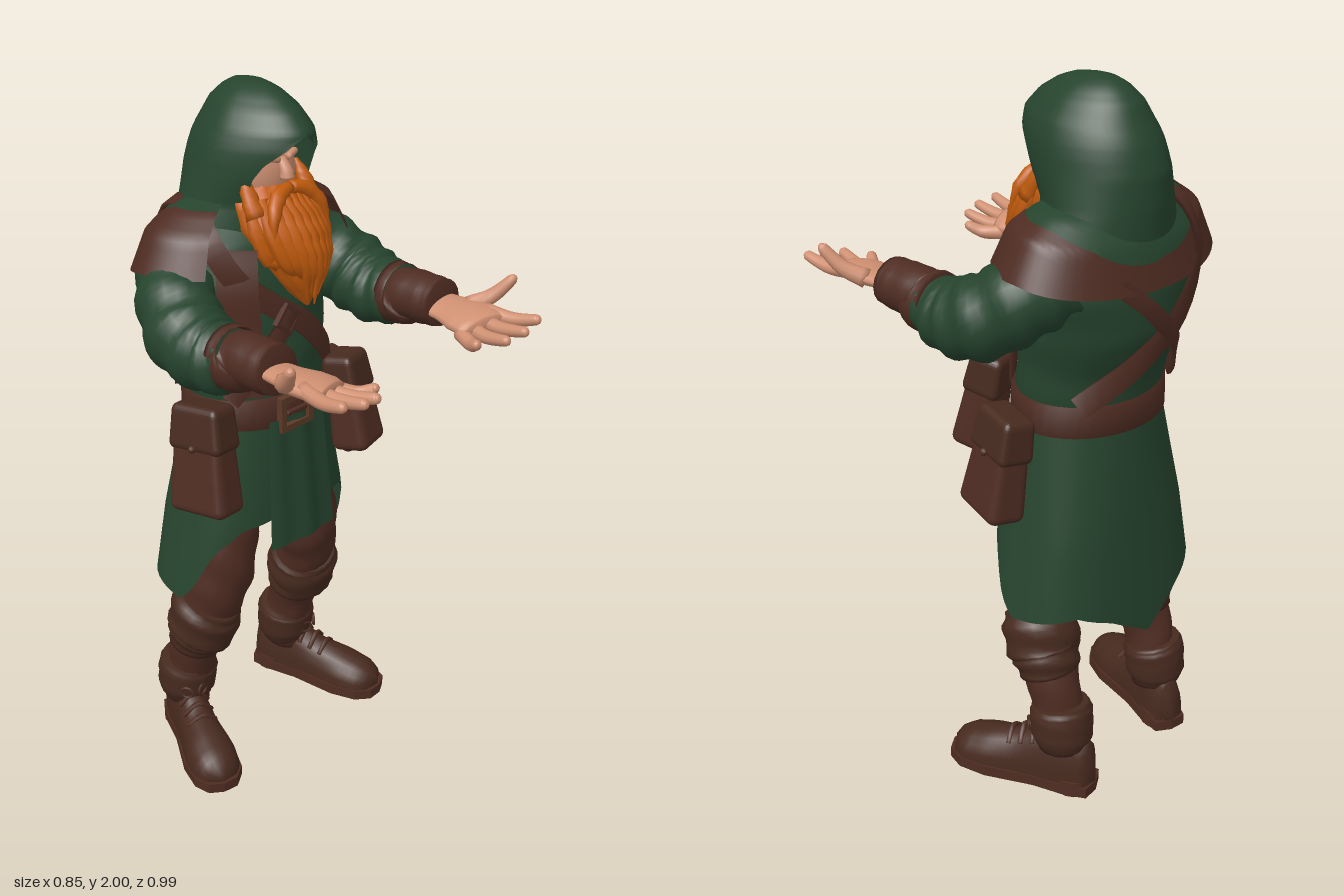
import * as THREE from 'three';
import { mergeVertices } from 'three/addons/utils/BufferGeometryUtils.js';
import { RoundedBoxGeometry } from 'three/addons/geometries/RoundedBoxGeometry.js';

const { sin, cos, PI, max, min } = Math;
const V = (x, y, z) => new THREE.Vector3(x, y, z);
const mat = (name, color) => {
  const m = new THREE.MeshStandardMaterial({ color, side: THREE.DoubleSide });
  m.name = name;
  return m;
};

// linear lookup of row [key, a, b, ...] in a table sorted by key
function lookup(table, k) {
  const up = table[0][0] < table[table.length - 1][0];
  let i = 0;
  while (i < table.length - 2 && (up ? k > table[i + 1][0] : k < table[i + 1][0])) i++;
  const a = table[i], b = table[i + 1];
  const t = min(1, max(0, (k - a[0]) / (b[0] - a[0])));
  return a.map((v, j) => v + (b[j] - v) * t);
}

// surface from a rule f(u, v) -> Vector3
function grid(nu, nv, f) {
  const pos = [], idx = [];
  for (let j = 0; j <= nv; j++) for (let i = 0; i <= nu; i++) pos.push(...f(i / nu, j / nv).toArray());
  for (let j = 0; j < nv; j++) for (let i = 0; i < nu; i++) {
    const a = j * (nu + 1) + i, b = a + nu + 1;
    idx.push(a, b, a + 1, b, b + 1, a + 1);
  }
  let g = new THREE.BufferGeometry();
  g.setAttribute('position', new THREE.Float32BufferAttribute(pos, 3));
  g.setIndex(idx);
  g = mergeVertices(g, 1e-5);
  g.computeVertexNormals();
  return g;
}

// stacked ellipses, rows [y, cx, cz, rx, rz] from top to bottom
const loft = (rows, nu = 32, nv = 24, ridge = () => 1) => grid(nu, nv, (u, v) => {
  const f = v * (rows.length - 1), i = min(rows.length - 2, Math.floor(f));
  const [y, cx, cz, rx, rz] = rows[i].map((n, k) => n + (rows[i + 1][k] - n) * (f - i));
  const a = -u * 2 * PI, r = ridge(a, v);
  return V(cx + rx * r * cos(a), y, cz + rz * r * sin(a));
});

// closed tapering tube through points [x, y, z, radius], with optional folds
function limb(pts, sides = 16, rows = 20, fold = 0, freq = 30) {
  const curve = new THREE.CatmullRomCurve3(pts.map(p => V(p[0], p[1], p[2])));
  const d = V(...pts[pts.length - 1].slice(0, 3)).sub(V(...pts[0].slice(0, 3)));
  const ref = Math.abs(d.x) > max(Math.abs(d.y), Math.abs(d.z)) ? V(0, 1, 0) : V(1, 0, 0);
  return grid(sides, rows, (u, v) => {
    const row = Math.round(v * rows), t = min(1, max(0, (row - 1) / (rows - 2)));
    const f = t * (pts.length - 1), i = min(pts.length - 2, Math.floor(f));
    let r = pts[i][3] + (pts[i + 1][3] - pts[i][3]) * (f - i);
    const a = -u * 2 * PI;
    r *= row === 0 || row === rows ? 0 : 1 + fold * sin(t * freq + 2.5 * cos(a));
    const tan = curve.getTangent(t), s = ref.clone().addScaledVector(tan, -ref.dot(tan)).normalize();
    const b = tan.clone().cross(s);
    return curve.getPoint(t).addScaledVector(s, r * cos(a)).addScaledVector(b, -r * sin(a));
  });
}

const TORSO = [[1.69, .02, -.29, .1, .1], [1.66, .02, -.29, .15, .13], [1.6, .01, -.285, .24, .17],
  [1.5, .01, -.28, .265, .195], [1.38, .005, -.27, .24, .2], [1.25, 0, -.235, .22, .18], [1.12, 0, -.22, .212, .172]];
// point on the torso at an angle in degrees (90 is front)
function onTorso(deg, y, off) {
  const [, cx, cz, rx, rz] = lookup(TORSO, y), a = deg * PI / 180;
  return V(cx + (rx + off) * cos(a), y, cz + (rz + off) * sin(a));
}

// leather band lying on the body, path rows [degrees, y, offset]
function strap(path, w) {
  const curve = new THREE.CatmullRomCurve3(path.map(([d, y, o = .012]) => onTorso(d, y, o)));
  const corners = [[-1, 0], [-1, 1], [1, 1], [1, 0], [-1, 0]];
  return grid(4, 44, (u, v) => {
    const p = curve.getPoint(v), [c, h] = corners[Math.round(u * 4)];
    const n = V(p.x, max(0, p.y - 1.53) * 3, p.z + .27).normalize();
    const side = curve.getTangent(v).cross(n).normalize();
    return p.addScaledVector(side, c * w / 2).addScaledVector(n, h * .012 - .004);
  });
}

export function createModel() {
  const root = new THREE.Group();
  const green = mat('greenCloth', 0x26442e), brown = mat('brownLeather', 0x4e2c22);
  const boot = mat('bootLeather', 0x472a1f), orange = mat('orangeHair', 0xbf5a0c);
  const skin = mat('skin', 0xcf9072), metal = mat('buckleMetal', 0x5c3927);
  const add = (name, geo, m, parent = root) => {
    const mesh = new THREE.Mesh(geo, m);
    mesh.name = name;
    parent.add(mesh);
    return mesh;
  };

  // tunic, hem height by angle from the back
  add('torso', loft(TORSO, 36, 30, (a, v) => 1 + .012 * sin(v * 34 + 3 * cos(a)) * v), green);
  const hem = [[0, .47], [26, .56], [45, .6], [78, .575], [96, .565], [108, .61], [122, .73], [140, .8], [180, .82]];
  add('skirt', grid(72, 14, (u, v) => {
    const a = -u * 2 * PI, s = sin(a), c = cos(a);
    const y = 1.15 + (lookup(hem, Math.acos(max(-1, min(1, -s))) * 180 / PI)[1] - 1.15) * v;
    const d = (1.15 - y) / .35, square = 1 + .1 * min(1, d) * sin(2 * a) ** 2;
    return V(-.006 * d + (.212 + .06 * d) * square * c, y, -.222 - .01 * d + (.172 + .016 * d) * square * s);
  }), green);
  add('frontPanel', grid(10, 12, (u, v) => {
    const x = (u - .5) * (.2 + .045 * v);
    return V(x - .022, 1.13 - .39 * v, -.03 + .032 * v - 1.1 * x * x + .005 * sin(u * 14));
  }), green);

  // shoulder mantle, green inside with a leather border widening over the shoulders
  const cape = [[0, .13, 1.715], [.35, .22, 1.69], [.7, .295, 1.645], [1, .345, 1.55]];
  const border = a => (cos(a) > 0 ? .3 + .2 * cos(a) : .3) + .5 * max(0, -sin(a)) ** 2;
  const mantle = (from, to, lift) => grid(48, 10, (u, v) => {
    const a = (140 + 260 * u) * PI / 180, t = from(a) + (to(a) - from(a)) * v;
    const [, r, y] = lookup(cape, t), back = max(0, -sin(a));
    return V(.01 + r * cos(a), y - .045 * t * back + lift, -.29 + r * sin(a) * (back > 0 ? .565 : .72));
  });
  add('mantleCentre', mantle(() => 0, a => border(a) + .04, 0), green);
  add('mantleBorder', mantle(border, () => 1, .004), brown);

  // hood, rows [y, half width, centre z, depth, opening half angle]
  const HOOD = [[1.61, .2, -.285, .165, .62], [1.7, .172, -.28, .175, .84], [1.78, .158, -.255, .2, .93],
    [1.82, .152, -.245, .2, .82], [1.85, .145, -.238, .198, .6], [1.875, .136, -.234, .19, .34], [1.895, .127, -.23, .182, 0],
    [1.94, .098, -.24, .148, 0], [1.975, .062, -.25, .1, 0], [1.995, .025, -.26, .05, 0], [2, 0, -.26, 0, 0]];
  for (const inset of [0, .012]) add(inset ? 'hoodLining' : 'hood', grid(44, 40, (u, v) => {
    const [y, rx, cz, rz, open] = lookup(HOOD, 1.61 + .39 * v);
    const a = (u * 2 - 1) * (PI - open), k = 1 - inset * 5, point = 1 - .25 * max(0, -cos(a));
    return V(.022 + .018 * v + rx * k * point * sin(a), y - inset * v, cz - rz * k * cos(a));
  }), green);

  // head and face
  const head = add('head', new THREE.SphereGeometry(1, 28, 20), skin);
  head.scale.set(.105, .135, .115);
  head.position.set(.025, 1.775, -.24);
  add('nose', limb([[.024, 1.815, -.135, .012], [.024, 1.785, -.115, .017], [.024, 1.765, -.112, .02]], 10, 8), skin);
  for (const s of [-1, 1]) {
    add('eyebrow', limb([[.025 + s * .015, 1.815, -.127, .009], [.025 + s * .05, 1.822, -.138, .01],
      [.025 + s * .08, 1.808, -.165, .004]], 8, 8), skin);
    add('moustache', limb([[.025, 1.745, -.105, .016], [.025 + s * .05, 1.73, -.095, .022],
      [.025 + s * .085, 1.69, -.075, .018], [.025 + s * .1, 1.63, -.06, .003]], 10, 14, .08), orange);
    add('sideburn', limb([[.022 + s * .094, 1.785, -.175, .005], [.022 + s * .1, 1.745, -.155, .02],
      [.022 + s * .102, 1.68, -.12, .028]], 10, 10, .08), orange);
  }

  // beard with hanging locks
  add('beard', loft([[1.75, .025, -.2, .08, .07], [1.71, .023, -.18, .118, .1], [1.64, .023, -.15, .12, .125],
    [1.57, .026, -.125, .098, .12], [1.5, .028, -.1, .06, .09], [1.43, .03, -.05, .005, .01]], 48, 20,
  (a, v) => 1 + .035 * sin(14 * a + 7 * v)), orange);
  for (let i = -5; i <= 5; i++) {
    const q = i / 5, c = Math.sqrt(1 - q * q * .85), low = 1.44 + .12 * q * q + (i % 2 ? .025 : 0);
    add('beardLock', limb([[.023 + q * .095, 1.72, -.19 + c * .09, .016], [.023 + q * .108, 1.64, -.16 + c * .125, .024],
      [.026 + q * .085, 1.56, -.13 + c * .125, .02], [.03 + q * .045, low, -.09 + c * .07, .002]], 7, 12, .08), orange);
  }

  // arms and open hands
  for (const s of [-1, 1]) {
    const arm = new THREE.Group();
    arm.name = s > 0 ? 'leftArm' : 'rightArm';
    arm.scale.x = s;
    const z = s > 0 ? .02 : 0;
    root.add(arm);
    add('sleeve', limb([[.19, 1.54, -.31, .1], [.255, 1.495, -.25, .105], [.31, 1.42, -.14, .11],
      [.31, 1.395, -.04, .1], [.3, 1.41, .035 + z, .078]], 22, 36, .05, 38), green, arm);
    add('cuff', limb([[.302, 1.408, .0 + z, .085], [.302, 1.41, .045 + z, .084], [.3, 1.418, .055 + z, .071],
      [.3, 1.422, .13 + z, .07], [.3, 1.426, .18 + z, .066]], 18, 20, .015), brown, arm);
    const palm = limb([[.3, 0, .15, .055], [.3, 0, .21, .06], [.295, 0, .27, .075], [.287, 0, .32, .074], [.28, 0, .345, .06]], 18, 16);
    palm.scale(1, .38, 1).rotateZ(.15).translate(0, 1.375, z);
    add('palm', palm, skin, arm);
    const tips = [[.335, .355, .452], [.302, .292, .462], [.265, .235, .448], [.232, .182, .394]];
    tips.forEach(([x0, x1, z1], i) => {
      const y = 1.43 - .011 * i;
      add('finger', limb([[x0, y, .3 + z, .021], [x0 * .45 + x1 * .55, y - .004, .38 + z - i * .007, .019],
        [x1, y + .014, z1 + z, .014], [x1, y + .017, z1 + z + .008, .006]], 10, 16), skin, arm);
    });
    add('thumb', limb([[.335, 1.425, .24 + z, .027], [.375, 1.455, .285 + z, .021], [.404, 1.508, .328 + z, .014],
      [.409, 1.517, .332 + z, .006]], 10, 14), skin, arm);
  }

  // legs and boots
  for (const s of [-1, 1]) {
    const leg = new THREE.Group();
    leg.name = s > 0 ? 'leftLeg' : 'rightLeg';
    leg.scale.x = s;
    leg.position.x = s > 0 ? -.017 : -.023;
    root.add(leg);
    add('trouser', limb([[.11, .95, -.215, .085], [.148, .78, -.17, .09], [.172, .62, -.175, .092], [.195, .48, -.215, .085],
      [.205, .3, -.28, .073], [.21, .12, -.31, .065]], 20, 40, .04, 40), brown, leg);
    add('kneeCuff', limb([[.19, .525, -.2, .09], [.198, .49, -.215, .106], [.202, .42, -.235, .105], [.204, .4, -.245, .096],
      [.205, .355, -.26, .084]], 20, 22, .035, 24), boot, leg);
    add('ankleCuff', limb([[.207, .265, -.3, .08], [.208, .24, -.305, .09], [.209, .17, -.312, .088], [.21, .13, -.312, .07]], 18, 14, .02), boot, leg);

    const foot = new THREE.Group();
    foot.name = 'boot';
    foot.position.set(.214, 0, -.312);
    foot.rotation.y = s > 0 ? .3 : .4;
    foot.scale.z = 1.03;
    leg.add(foot);
    const shape = [[-.105, 0, .05], [-.1, .04, .15], [-.04, .056, .19], [.05, .058, .18], [.12, .064, .14],
      [.21, .078, .12], [.275, .072, .1], [.315, .045, .075], [.325, 0, .05]];
    add('upper', grid(20, 24, (u, v) => {
      const [zz, w, h] = lookup(shape, -.105 + .43 * v), a = u * 2 * PI;
      return V(w * cos(a), .02 + (h - .02) * max(0, sin(a)) ** .8, zz);
    }), boot, foot);
    const half = [[.048, -.095], [.06, -.03], [.06, .06], [.081, .2], [.074, .28], [.045, .322]];
    const outline = new THREE.Shape([[0, -.106], ...half, [0, .333], ...half.map(([x, y]) => [-x, y]).reverse()]
      .map(p => new THREE.Vector2(...p)));
    const sole = new THREE.ExtrudeGeometry(outline, { depth: .032, bevelEnabled: false });
    add('sole', sole.rotateX(PI / 2).translate(0, .032, 0), brown, foot);
    add('heel', new THREE.CylinderGeometry(.06, .062, .045, 16).translate(0, .0225, -.04), brown, foot);
    for (let i = 0; i < 3; i++) add('lace', limb([[-.045, .135 - .012 * i, .07 + .035 * i, .007],
      [0, .178 - .018 * i, .075 + .035 * i, .008], [.045, .135 - .012 * i, .07 + .035 * i, .007]], 6, 8), brown, foot);
    for (const k of [-1, 1]) add('laceBow', new THREE.TorusGeometry(.018, .004, 6, 12).rotateY(k * .6)
      .translate(k * .025, .19, .085), brown, foot);
  }

  // belt and buckle
  add('belt', loft([[1.185, 0, -.222, .2, .16], [1.185, 0, -.222, .226, .186], [1.1, 0, -.222, .228, .188],
    [1.1, 0, -.222, .2, .16]], 40, 3), brown);
  const ring = (w, h, t, d) => {
    const sh = new THREE.Shape([[-w, -h], [w, -h], [w, h], [-w, h]].map(p => new THREE.Vector2(...p)));
    sh.holes.push(new THREE.Path([[-w + t, -h + t], [-w + t, h - t], [w - t, h - t], [w - t, -h + t]].map(p => new THREE.Vector2(...p))));
    return new THREE.ExtrudeGeometry(sh, { depth: d, bevelEnabled: false });
  };
  add('buckle', ring(.06, .052, .018, .02).translate(-.035, 1.145, -.038), metal);
  add('bucklePin', new RoundedBoxGeometry(.075, .014, .014, 2, .004).translate(-.035, 1.145, -.024), brown);

  // crossed straps and lapel
  add('mainStrap', strap([[42, 1.19], [62, 1.28], [86, 1.38], [110, 1.46], [130, 1.54], [150, 1.635, .05], [180, 1.69, .07],
    [215, 1.675, .065], [238, 1.57, .025], [262, 1.42], [290, 1.3], [322, 1.19]], .062), brown);
  add('backStrap', strap([[305, 1.54, .015], [285, 1.46], [262, 1.35], [235, 1.24], [215, 1.18]], .045), brown);
  add('sideStrap', strap([[94, 1.42, .018], [110, 1.34], [128, 1.26], [145, 1.19]], .05), brown);
  add('lapel', strap([[126, 1.6, .012], [127, 1.5, .008], [130, 1.38, .008], [135, 1.2, .008]], .11), brown);
  const clasp = add('strapClasp', ring(.034, .034, .01, .016), brown);
  clasp.position.set(-.035, 1.405, -.064);
  clasp.rotation.z = -.7;

  // belt pouches
  const pouch = (name, pos, size, rot) => {
    const g = new THREE.Group(), [w, h, d] = size;
    g.name = name;
    g.position.set(...pos);
    g.rotation.set(...rot, 'YXZ');
    root.add(g);
    const taper = geo => {
      const p = geo.attributes.position;
      for (let i = 0; i < p.count; i++) {
        const k = .92 - .32 * p.getY(i) / h;
        p.setX(i, p.getX(i) * k);
        p.setZ(i, p.getZ(i) * k);
      }
      geo.computeVertexNormals();
      return geo;
    };
    add('pouchBody', taper(new RoundedBoxGeometry(w, h, d, 3, .025)), brown, g);
    add('pouchFlap', taper(new RoundedBoxGeometry(w * 1.12, h * .42, d * 1.14, 3, .022).translate(0, h * .3, 0)), boot, g);
    add('pouchButton', new THREE.SphereGeometry(.011, 10, 8).translate(0, h * .13, d * .5), brown, g);
  };
  pouch('leftFrontPouch', [.168, 1.11, -.008], [.125, .28, .11], [-.2, .25, 0]);
  pouch('leftSidePouch', [.287, 1.015, -.165], [.17, .29, .105], [-.14, 1.3, -.08]);
  pouch('rightSidePouch', [-.262, 1.035, -.15], [.18, .31, .11], [-.12, -1.4, .1]);
  return root;
}
